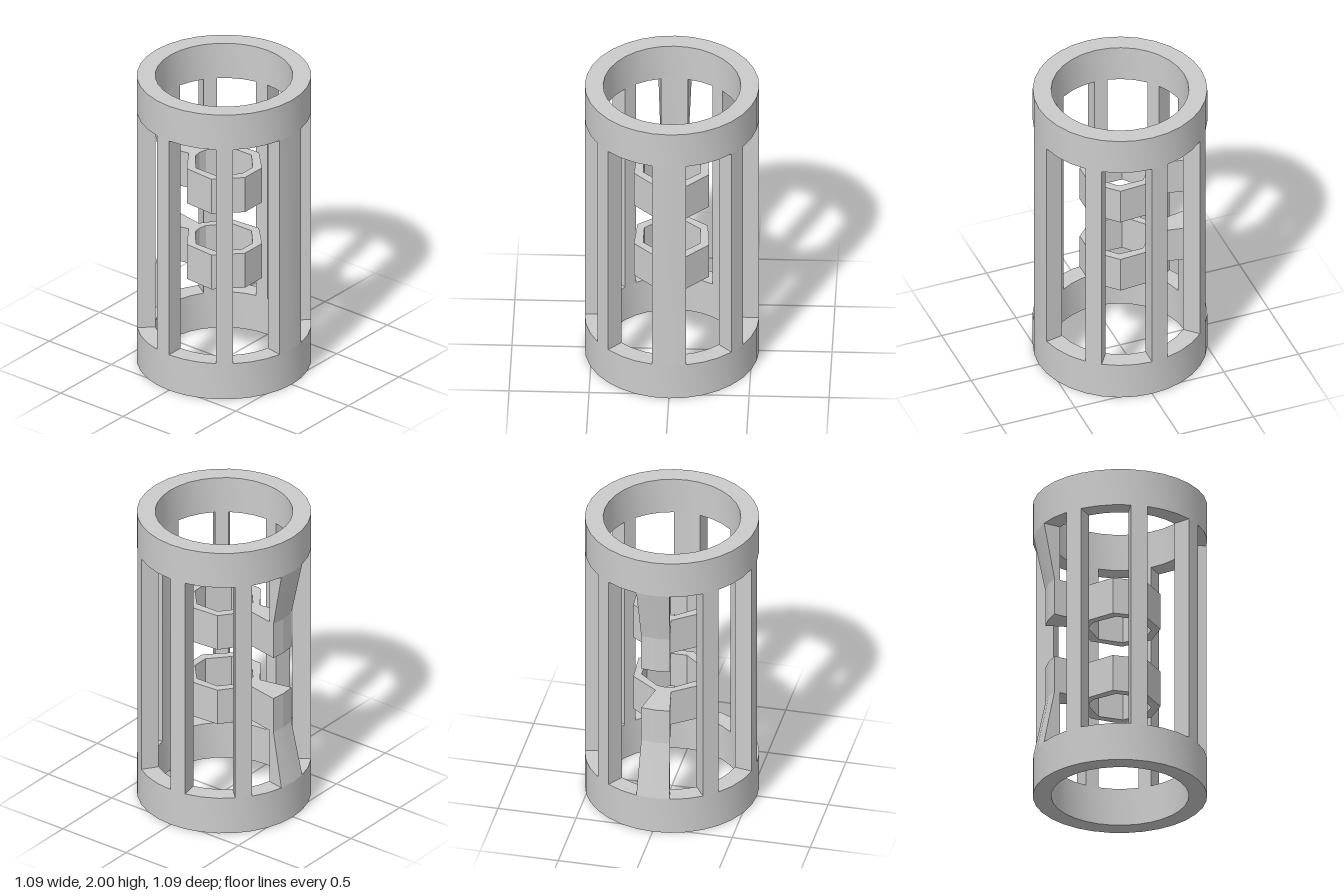
import * as THREE from 'three';
import { mergeGeometries, toCreasedNormals } from 'three/addons/utils/BufferGeometryUtils.js';

const OUTER = 0.545, INNER = 0.43;
const STEP = Math.PI / 16; // one of 32 sides
const LOW = 0.25, HIGH = 1.755;
const material = new THREE.MeshStandardMaterial({ color: 0xcccccc });

// Revolves a closed counter-clockwise (radius, y) profile; angles run from +z towards +x, in steps
function sector(profile, start, steps) {
  const points = profile.map(([r, y]) => new THREE.Vector2(r, y));
  const parts = [new THREE.LatheGeometry([...points, points[0].clone()], steps, start * STEP, steps * STEP)];
  if (steps < 32) {
    // flat ends of a partial revolution
    [start, start + steps].forEach((s, i) => {
      const cap = new THREE.ShapeGeometry(new THREE.Shape(points));
      cap.rotateY(s * STEP - Math.PI / 2);
      if (i === 1) cap.setIndex(Array.from(cap.index.array).reverse());
      parts.push(cap);
    });
  }
  return toCreasedNormals(mergeGeometries(parts), 0.4);
}

const block = (y0, y1) => [[INNER, y0], [OUTER, y0], [OUTER, y1], [INNER, y1]];

// Completes a half outline (x, z) by mirroring it in x
function mirrored(half) {
  const other = half.filter(([x]) => x !== 0).map(([x, z]) => [-x, z]).reverse();
  return [...half, ...other].map(([x, z]) => new THREE.Vector2(x, z));
}

export function createModel() {
  const group = new THREE.Group();
  const add = (name, geometry) => {
    const mesh = new THREE.Mesh(geometry, material);
    mesh.name = name;
    group.add(mesh);
  };

  // End rings
  add('bottomRing', sector(block(0, LOW), 0, 32));
  add('topRing', sector(block(HIGH, 2), 0, 32));

  // Upright bars: a wide one in front, three narrow ones on each side
  add('frontBar', sector(block(LOW, HIGH), -1, 2));
  for (const s of [4, 8, 12]) {
    add('leftBar', sector(block(LOW, HIGH), s, 1));
    add('rightBar', sector(block(LOW, HIGH), -s - 1, 1));
  }

  // Rear bar in two halves, each thinning towards its holder
  const waist = 0.47;
  add('lowerRearBar', sector([[INNER, LOW], [OUTER, LOW], [waist, 0.615], [INNER, 0.615]], 15, 2));
  add('upperRearBar', sector([[INNER, 1.39], [waist, 1.39], [OUTER, HIGH], [INNER, HIGH]], 15, 2));

  // Holders: faceted collars, each with an arm reaching the rear bar
  const outline = mirrored([
    [0, -waist], [waist * Math.sin(STEP), -waist * Math.cos(STEP)],
    [INNER * Math.sin(STEP), -INNER * Math.cos(STEP)],
    [0.05, -0.245], [0.22, -0.12], [0.235, 0.09], [0.085, 0.237],
  ]);
  const hole = mirrored([[0, -0.197], [0.052, -0.188], [0.176, -0.083], [0.177, 0.077], [0.053, 0.188]]);
  for (const [name, y0, y1] of [['lowerHolder', 0.615, 0.857], ['upperHolder', 1.147, 1.39]]) {
    const shape = new THREE.Shape(outline);
    shape.holes.push(new THREE.Path(hole));
    const geometry = new THREE.ExtrudeGeometry(shape, { depth: y1 - y0, bevelEnabled: false });
    geometry.rotateX(Math.PI / 2).translate(0, y1, 0);
    add(name, geometry);
  }

  return group;
}
